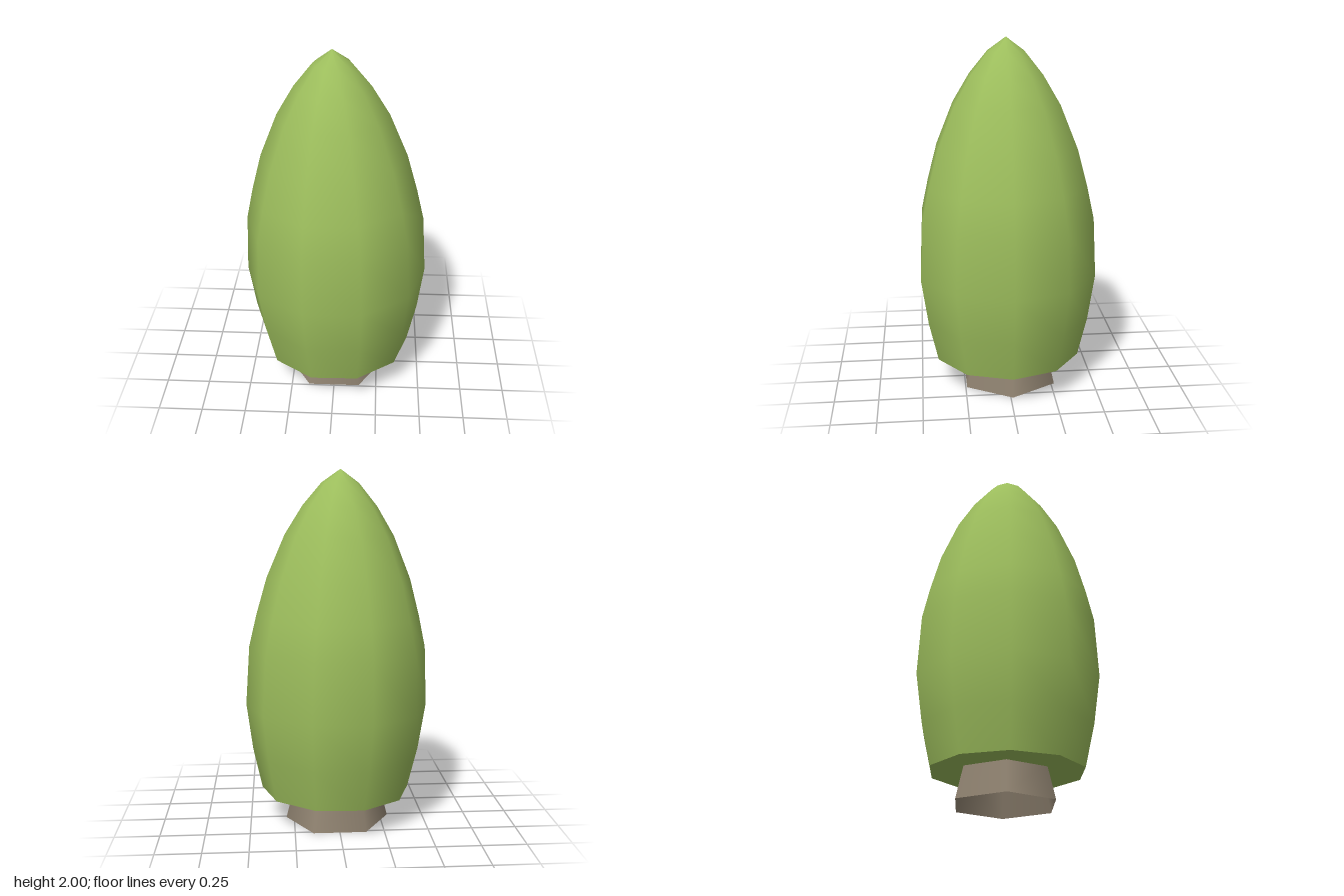
import * as THREE from 'three';

export function createModel() {
  const model = new THREE.Group();
  const leafGreen = new THREE.MeshStandardMaterial({ color: 0x9cbd5c });
  const barkBrown = new THREE.MeshStandardMaterial({ color: 0x8f8270, side: THREE.DoubleSide });

  // Crown: ten-sided smooth shell [radius, height], leaning slightly to one side
  const profile = [
    [0.424, 0.18], [0.478, 0.41], [0.517, 0.675], [0.5, 1.01], [0.46, 1.19],
    [0.403, 1.4], [0.304, 1.64], [0.207, 1.8], [0.104, 1.925], [0, 2],
  ].map(([r, y]) => new THREE.Vector2(r, y - 0.7));
  const crown = new THREE.Group();
  crown.name = 'crown';
  const foliage = new THREE.Mesh(new THREE.LatheGeometry(profile, 10, Math.PI / 2), leafGreen);
  foliage.name = 'foliage';
  const underside = new THREE.Mesh(new THREE.CircleGeometry(0.424, 10), leafGreen);
  underside.name = 'foliageUnderside';
  underside.rotation.x = Math.PI / 2;
  underside.position.y = 0.18 - 0.7;
  crown.add(foliage, underside);
  crown.position.y = 0.7;
  crown.rotation.z = 0.016;
  model.add(crown);

  // Trunk: open, tapered six-sided tube
  const trunk = new THREE.Mesh(
    new THREE.CylinderGeometry(0.248, 0.295, 0.19, 6, 1, true, Math.PI / 2), barkBrown);
  trunk.name = 'trunk';
  trunk.position.set(0, 0.095, -0.013);
  model.add(trunk);

  return model;
}
